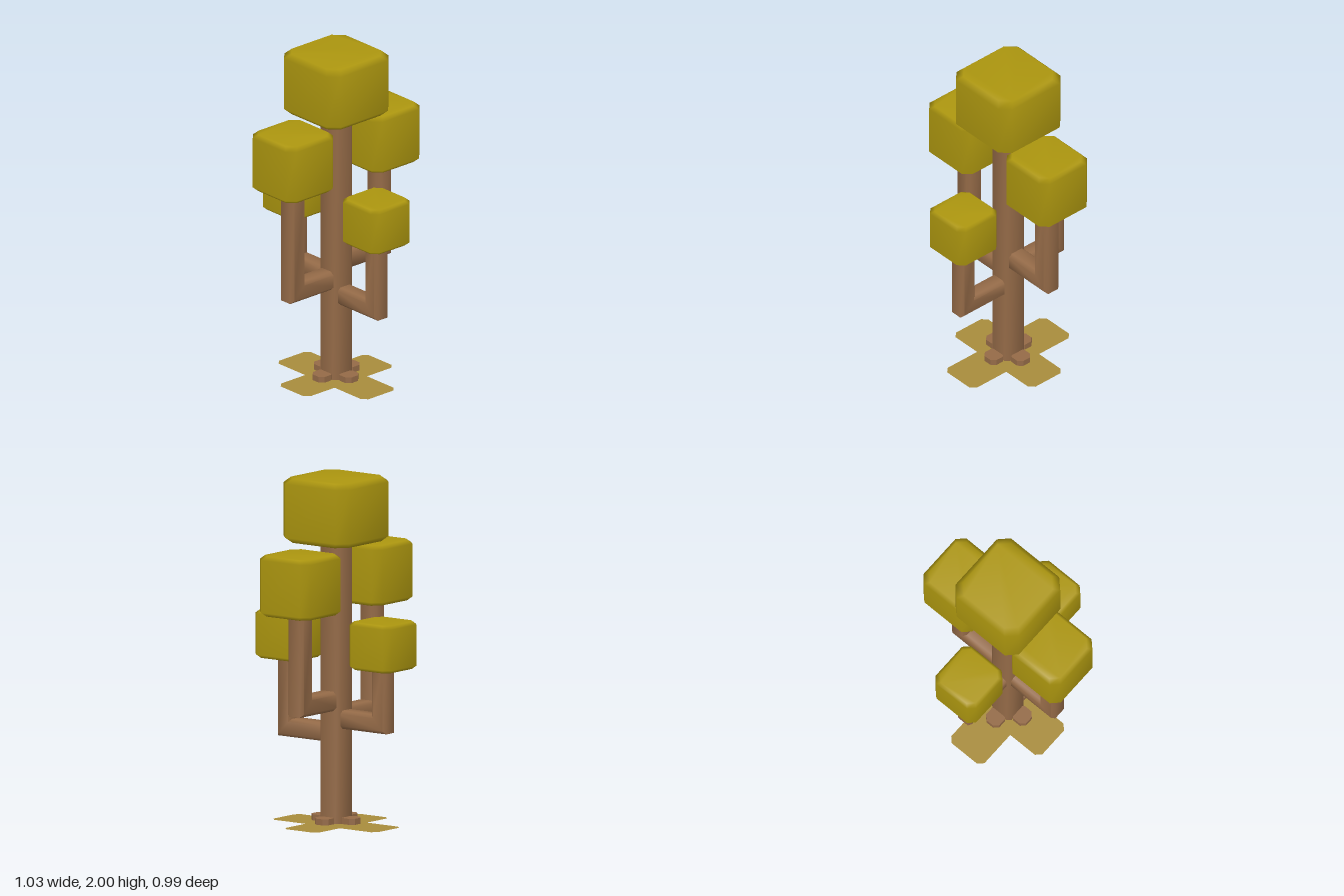
import * as THREE from 'three';
import { toCreasedNormals } from 'three/addons/utils/BufferGeometryUtils.js';

// Square outline with cut corners, counter-clockwise
function outline(size, cut) {
  const h = size / 2, k = h - cut;
  return [[h, -k], [h, k], [k, h], [-k, h], [-h, k], [-h, -k], [-k, -h], [k, -h]];
}

// Skin a stack of equal-length rings and close both ends
function loft(rings) {
  const n = rings[0].length, index = [], last = (rings.length - 1) * n;
  for (let i = 0; i < rings.length - 1; i++) {
    for (let j = 0; j < n; j++) {
      const a = i * n + j, b = i * n + (j + 1) % n;
      index.push(a, b, b + n, a, b + n, a + n);
    }
  }
  for (let j = 1; j < n - 1; j++) {
    index.push(0, j + 1, j, last, last + j, last + j + 1);
  }
  const geometry = new THREE.BufferGeometry();
  geometry.setAttribute('position', new THREE.Float32BufferAttribute(rings.flat(2), 3));
  geometry.setIndex(index);
  geometry.computeVertexNormals();
  return geometry;
}

const level = (size, cut, y) => outline(size, cut).map(([u, v]) => [u, y, -v]);

// Upright block with cut corners and bevelled top and bottom edges
function block(size, y0, y1, cut, bevel) {
  return loft([
    level(size - 2 * bevel, cut, y0),
    level(size, cut, y0 + bevel),
    level(size, cut, y1 - bevel),
    level(size - 2 * bevel, cut, y1),
  ]);
}

// Limb leaving the trunk along +x, then turning up at a mitred elbow
function limb(reach, y, width, top) {
  const ring = outline(width, width * 0.16);
  return toCreasedNormals(loft([
    ring.map(([u, v]) => [0.04, y - u, -v]),
    ring.map(([u, v]) => [reach + u, y - u, -v]),
    ring.map(([u, v]) => [reach + u, top, -v]),
  ]), 0.9);
}

export function createModel() {
  const model = new THREE.Group();
  const material = (name, color) => new THREE.MeshStandardMaterial({ name, color });
  const bark = material('bark', 0x946a47);
  const leaf = material('leaf', 0xac960f);
  const soil = material('soil', 0xa88c3c);
  soil.side = THREE.DoubleSide;

  const add = (parent, name, geometry, mat) => {
    const mesh = new THREE.Mesh(geometry, mat);
    mesh.name = name;
    parent.add(mesh);
    return mesh;
  };

  // Trunk and crown
  const trunk = loft([level(0.148, 0.022, 0.01), level(0.148, 0.022, 1.66)]);
  add(model, 'trunk', toCreasedNormals(trunk, 0.9), bark);
  add(model, 'crown', block(0.476, 1.63, 2, 0.057, 0.03), leaf);

  // Four branches, each with a leaf block and a root
  const branches = [
    { name: 'leftBranch', turn: 0, reach: 0.33, y: 0.717, width: 0.112, size: 0.366, y0: 1.245, y1: 1.592 },
    { name: 'backBranch', turn: 1, reach: 0.34, y: 0.61, width: 0.105, size: 0.303, y0: 0.927, y1: 1.2 },
    { name: 'rightBranch', turn: 2, reach: 0.332, y: 0.62, width: 0.112, size: 0.366, y0: 1.245, y1: 1.592 },
    { name: 'frontBranch', turn: 3, reach: 0.342, y: 0.525, width: 0.105, size: 0.303, y0: 0.927, y1: 1.2 },
  ];
  for (const b of branches) {
    const branch = new THREE.Group();
    branch.name = b.name;
    branch.rotation.y = b.turn * Math.PI / 2;
    add(branch, 'limb', limb(b.reach, b.y, b.width, b.y0 + 0.03), bark);
    const leaves = block(b.size, b.y0, b.y1, b.size * 0.12, b.size * 0.06);
    add(branch, 'leafBlock', leaves, leaf).position.x = b.reach;
    const root = loft([level(0.1, 0.025, 0.01), level(0.1, 0.025, 0.045)]);
    add(branch, 'root', toCreasedNormals(root, 0.5), bark).position.x = 0.108;
    model.add(branch);
  }

  // Flat cross of soil with cut arm ends
  const w = 0.125, c = 0.03;
  const points = [];
  for (let i = 0; i < 4; i++) {
    const r = i % 2 ? 0.38 : 0.34;
    for (const [x, y] of [[w, -w], [r - c, -w], [r, c - w], [r, w - c], [r - c, w]]) {
      points.push(new THREE.Vector2(x, y).rotateAround(new THREE.Vector2(), i * Math.PI / 2));
    }
  }
  const patch = new THREE.ShapeGeometry(new THREE.Shape(points)).rotateX(-Math.PI / 2);
  add(model, 'groundPatch', patch, soil);

  return model;
}
